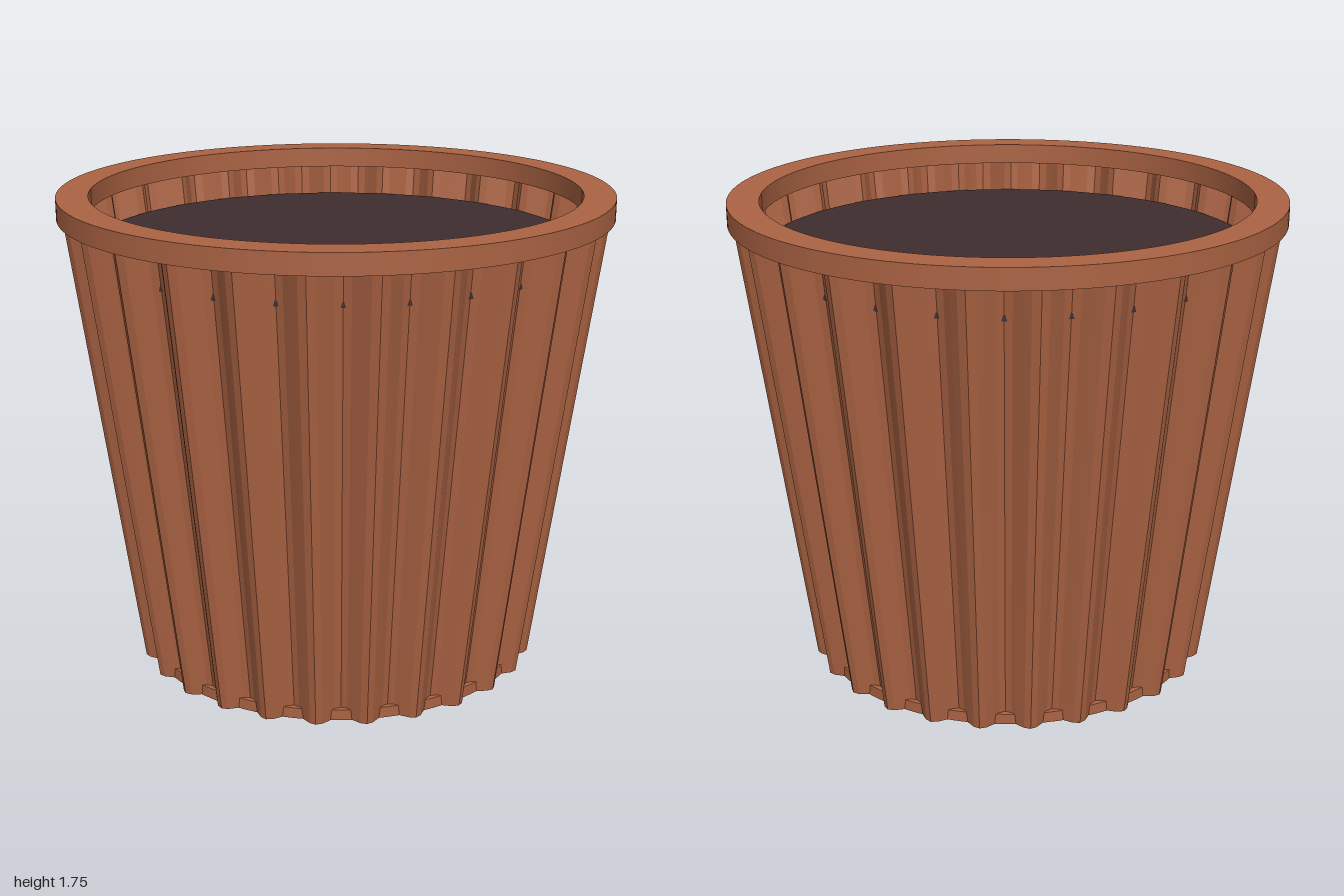
import * as THREE from 'three';

const FLUTES = 26;
const terracotta = new THREE.MeshStandardMaterial({ color: 0xab6343, side: THREE.DoubleSide, flatShading: true });
terracotta.name = 'terracotta';
const rimClay = terracotta.clone();
rimClay.flatShading = false;
rimClay.side = THREE.FrontSide;
const darkSoil = new THREE.MeshStandardMaterial({ color: 0x3e2d2f });
darkSoil.name = 'dark soil';

function addMesh(group, name, geometry, material, y = 0) {
  const mesh = new THREE.Mesh(geometry, material);
  mesh.name = name;
  mesh.position.y = y;
  group.add(mesh);
}

// Tapered open tube whose radius ripples around the pot, with a groove facing front
function flutedWall(bottomRadius, topRadius, height) {
  const geometry = new THREE.CylinderGeometry(topRadius, bottomRadius, height, FLUTES * 8, 1, true);
  const p = geometry.attributes.position;
  for (let i = 0; i < p.count; i++) {
    const angle = Math.atan2(p.getX(i), p.getZ(i));
    const ripple = 1 - 0.043 * Math.cos(FLUTES * angle);
    p.setX(i, p.getX(i) * ripple);
    p.setZ(i, p.getZ(i) * ripple);
  }
  geometry.translate(0, height / 2, 0);
  geometry.computeVertexNormals();
  return geometry;
}

// Flat-edged ring lying on y = 0
function ring(outer, inner, height) {
  const shape = new THREE.Shape().absarc(0, 0, outer, 0, Math.PI * 2, false);
  shape.holes.push(new THREE.Path().absarc(0, 0, inner, 0, Math.PI * 2, true));
  return new THREE.ExtrudeGeometry(shape, { depth: height, bevelEnabled: false, curveSegments: 96 })
    .rotateX(-Math.PI / 2);
}

export function createModel() {
  const pot = new THREE.Group();
  pot.name = 'flutedPot';
  addMesh(pot, 'flutedWall', flutedWall(0.719, 0.942, 1.69), terracotta);
  addMesh(pot, 'rim', ring(1, 0.885, 0.075), rimClay, 1.68);
  addMesh(pot, 'base', new THREE.CylinderGeometry(0.714, 0.714, 0.04, 96), rimClay, 0.02);
  // Soil just reaches the inner ridges of the wall
  addMesh(pot, 'soil', new THREE.CylinderGeometry(0.888, 0.888, 0.02, 96), darkSoil, 1.56);
  return pot;
}
